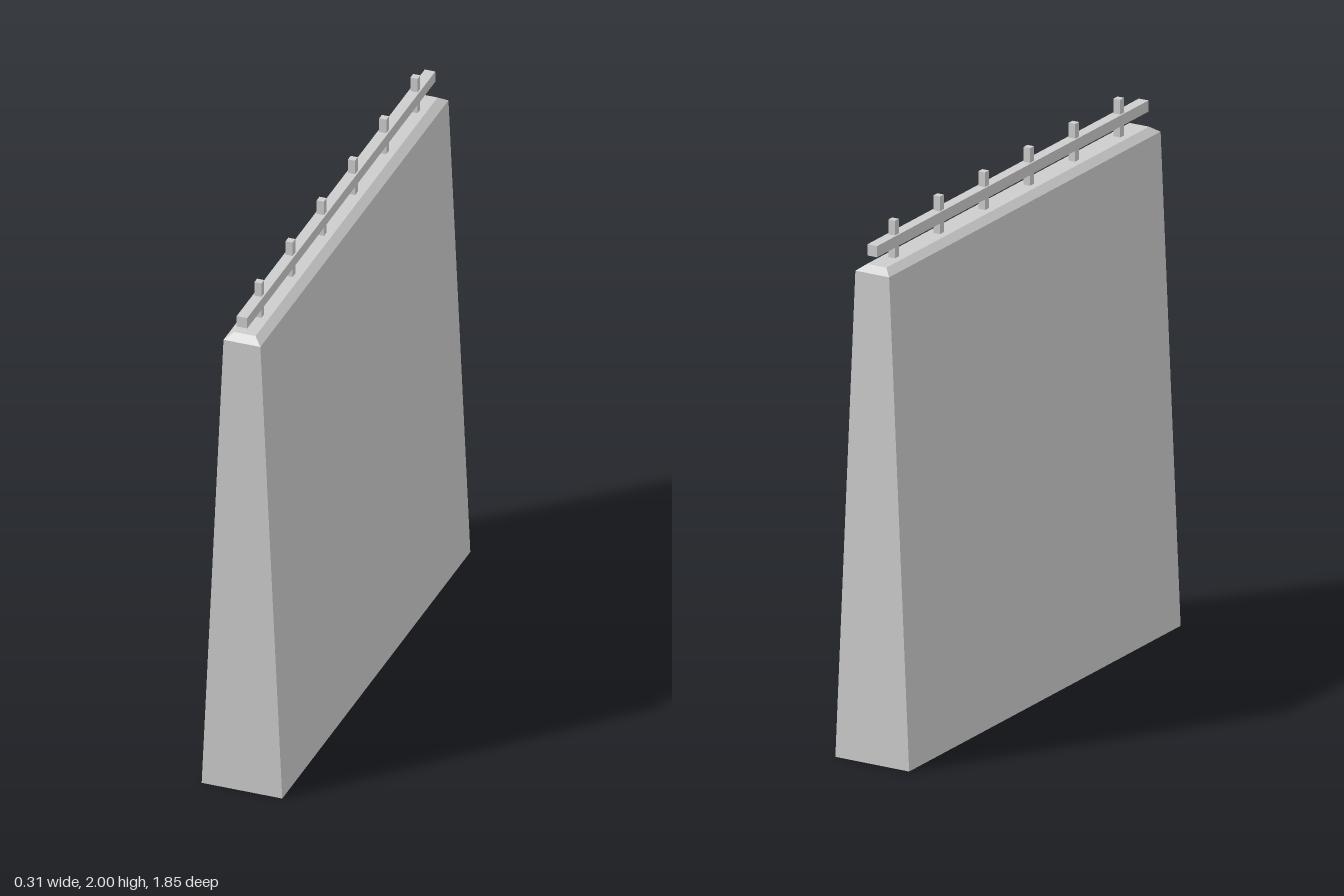
import * as THREE from 'three';

const concrete = new THREE.MeshStandardMaterial({ color: 0xcccccc });
concrete.name = 'light grey';

// Box whose top face has its own half width and half length
function taperedBlock(name, y0, y1, [bottomX, bottomZ], [topX, topZ]) {
  const geometry = new THREE.BoxGeometry(2, 1, 2);
  const p = geometry.attributes.position;
  for (let i = 0; i < p.count; i++) {
    const top = p.getY(i) > 0;
    p.setXYZ(i,
      p.getX(i) * (top ? topX : bottomX),
      top ? y1 : y0,
      p.getZ(i) * (top ? topZ : bottomZ));
  }
  geometry.computeVertexNormals();
  const mesh = new THREE.Mesh(geometry, concrete);
  mesh.name = name;
  return mesh;
}

export function createModel() {
  const model = new THREE.Group();
  model.name = 'wall';

  // Sloping wall with a bevelled top
  model.add(taperedBlock('wallBody', 0, 1.837, [0.153, 0.925], [0.07, 0.925]));
  model.add(taperedBlock('bevelledTop', 1.837, 1.859, [0.07, 0.925], [0.04, 0.895]));

  // Long rail carried by six posts
  model.add(taperedBlock('rail', 1.903, 1.945, [0.02, 0.925], [0.02, 0.925]));
  for (let i = 0; i < 6; i++) {
    const post = taperedBlock('post', 1.855, 2, [0.0135, 0.0135], [0.0135, 0.0135]);
    post.position.z = 0.755 - i * 0.307;
    model.add(post);
  }
  return model;
}
